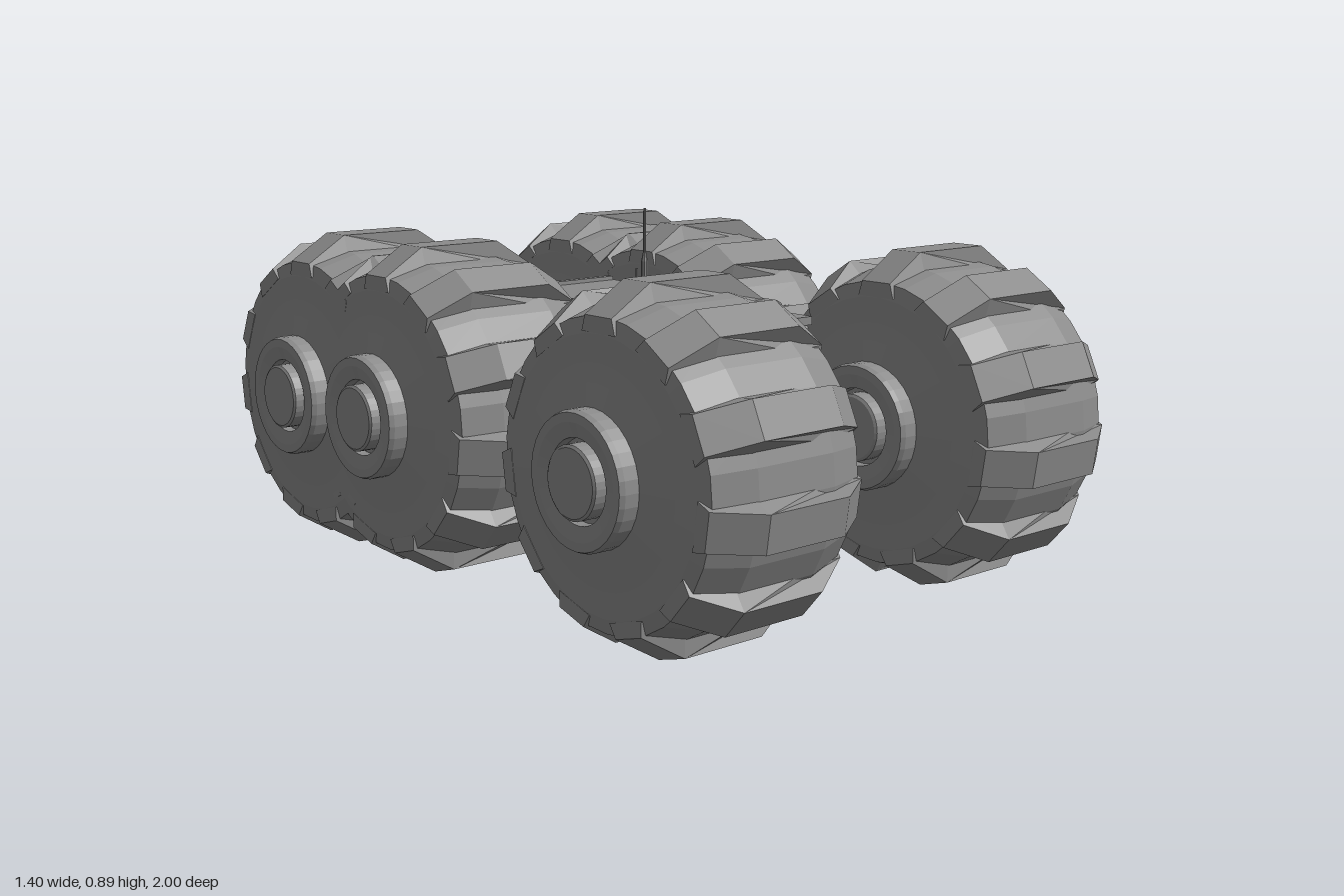
import * as THREE from 'three';

const paint = new THREE.MeshStandardMaterial({ color: 0x8c8c8c, flatShading: true, side: THREE.DoubleSide });

function add(parent, name, geometry, x = 0, y = 0, z = 0) {
  const mesh = new THREE.Mesh(geometry, paint);
  mesh.name = name;
  mesh.position.set(x, y, z);
  parent.add(mesh);
  return mesh;
}

const box = (w, h, d) => new THREE.BoxGeometry(w, h, d);
const rod = (r, length, sides = 10) => new THREE.CylinderGeometry(r, r, length, sides);
const shapeOf = (points) => new THREE.Shape(points.map(([a, b]) => new THREE.Vector2(a, b)));

// Extrudes a side profile of (z, y) points across the width, centred on x = 0
function sideProfile(points, width) {
  const g = new THREE.ExtrudeGeometry(shapeOf(points.map(([z, y]) => [-z, y])), { depth: width, bevelEnabled: false });
  return g.translate(0, 0, -width / 2).rotateY(Math.PI / 2);
}

// Balloon tyre with hub, turned around the x axis; both faces alike
function tyreGeometry() {
  const half = [
    [0.365, 0.105], [0.335, 0.203], [0.3, 0.212], [0.24, 0.214], [0.2, 0.221], [0.15, 0.23],
    [0.15, 0.265], [0.145, 0.277], [0.125, 0.277], [0.092, 0.268], [0.09, 0.245],
    [0.08, 0.245], [0.08, 0.284], [0.074, 0.288], [0, 0.288],
  ];
  const full = [...half.map(([r, x]) => [r, -x]).reverse(), ...half];
  return new THREE.LatheGeometry(full.map(([r, x]) => new THREE.Vector2(r, x)), 33).rotateZ(-Math.PI / 2);
}

// Tread bar with chamfered ends; its flanks widen below the tread surface
function lugGeometry() {
  const g = new THREE.ExtrudeGeometry(
    shapeOf([[-0.213, 0.3], [-0.11, 0.345], [0.11, 0.345], [0.213, 0.3],
      [0.213, 0.335], [0.11, 0.4], [-0.11, 0.4], [-0.213, 0.335]]),
    { depth: 2, bevelEnabled: false }).translate(0, 0, -1);
  const p = g.attributes.position;
  for (let i = 0; i < p.count; i++) {
    const top = Math.abs(p.getX(i)) > 0.2 ? 0.335 : 0.4;
    p.setZ(i, p.getZ(i) * (0.043 + (top - p.getY(i)) * 0.3));
  }
  return g;
}

export function createModel() {
  const model = new THREE.Group();
  model.name = 'sixWheelRover';

  // Wheels: one front pair, two overlapping rear pairs
  const tyre = tyreGeometry();
  const lug = lugGeometry();
  for (const side of [-1, 1]) {
    for (const z of [0.6, -0.24, -0.595]) {
      const wheel = new THREE.Group();
      wheel.name = 'wheel';
      wheel.position.set(side * 0.4125, 0.4, z);
      add(wheel, 'tyre', tyre);
      for (let i = 0; i < 11; i++) add(wheel, 'treadLug', lug).rotation.x = (i / 11) * Math.PI * 2;
      model.add(wheel);
    }
  }

  // Hull with sloped nose and tail
  add(model, 'hull', sideProfile([
    [-0.33, 0.48], [-0.33, 0.62], [-0.31, 0.648], [0.27, 0.648], [0.41, 0.64], [0.445, 0.615],
    [0.445, 0.485], [0.39, 0.465], [-0.3, 0.465]], 0.28));
  add(model, 'deck', sideProfile([
    [-0.335, 0.615], [-0.335, 0.63], [-0.315, 0.655], [0.3, 0.655], [0.3, 0.635], [-0.3, 0.635]], 0.31));
  add(model, 'nosePanel', box(0.25, 0.1, 0.01), 0, 0.55, 0.447);
  add(model, 'noseLip', box(0.3, 0.02, 0.16), 0, 0.632, 0.365);
  add(model, 'tailRim', box(0.3, 0.02, 0.02), 0, 0.655, -0.31);

  // Raised band arching over the hull
  const band = shapeOf([[-0.172, 0.47], [-0.172, 0.645], [-0.165, 0.66], [-0.15, 0.668], [0.15, 0.668], [0.165, 0.66],
    [0.172, 0.645], [0.172, 0.47], [0.14, 0.47], [0.14, 0.63], [-0.14, 0.63], [-0.14, 0.47]]);
  add(model, 'arch', new THREE.ExtrudeGeometry(band, { depth: 0.075, bevelEnabled: false }), 0, 0, 0.25);

  // Underframe beam, deeper at both ends, hung from the hull by two necks
  add(model, 'underframe', sideProfile([
    [-0.33, 0.385], [-0.33, 0.445], [0.4, 0.445], [0.43, 0.415], [0.41, 0.365], [0.28, 0.365],
    [0.26, 0.4], [0, 0.4], [-0.02, 0.365], [-0.31, 0.365]], 0.19));
  for (const z of [0.33, -0.16]) add(model, 'frameNeck', box(0.24, 0.05, 0.14), 0, 0.45, z);

  // Brackets and axle pins at both sides
  for (const side of [-1, 1]) {
    for (const z of [0.4, -0.07]) {
      add(model, 'bracket', box(0.012, 0.08, 0.05), side * 0.1, 0.385, z);
      add(model, 'lowerPin', rod(0.01, 0.05), side * 0.12, 0.35, z).rotation.z = Math.PI / 2;
      add(model, 'upperPin', rod(0.01, 0.04), side * 0.155, 0.5, z).rotation.z = Math.PI / 2;
    }
    add(model, 'axleArm', rod(0.03, 0.06, 8), side * 0.12, 0.405, -0.24).rotation.z = Math.PI / 2;
  }

  // Antennas on the right edge of the deck
  const mast = [[0, 0], [0.005, 0], [0.004, 0.06], [0.008, 0.07], [0.008, 0.12], [0.004, 0.14], [0.003, 0.245], [0, 0.245]];
  add(model, 'antenna', new THREE.LatheGeometry(mast.map(([r, y]) => new THREE.Vector2(r, y)), 8), -0.133, 0.65, 0.165);
  add(model, 'shortAntenna', rod(0.003, 0.1, 6), -0.133, 0.7, 0.137);
  add(model, 'shortAntennaBase', rod(0.006, 0.03, 8), -0.133, 0.66, 0.137);

  return model;
}
